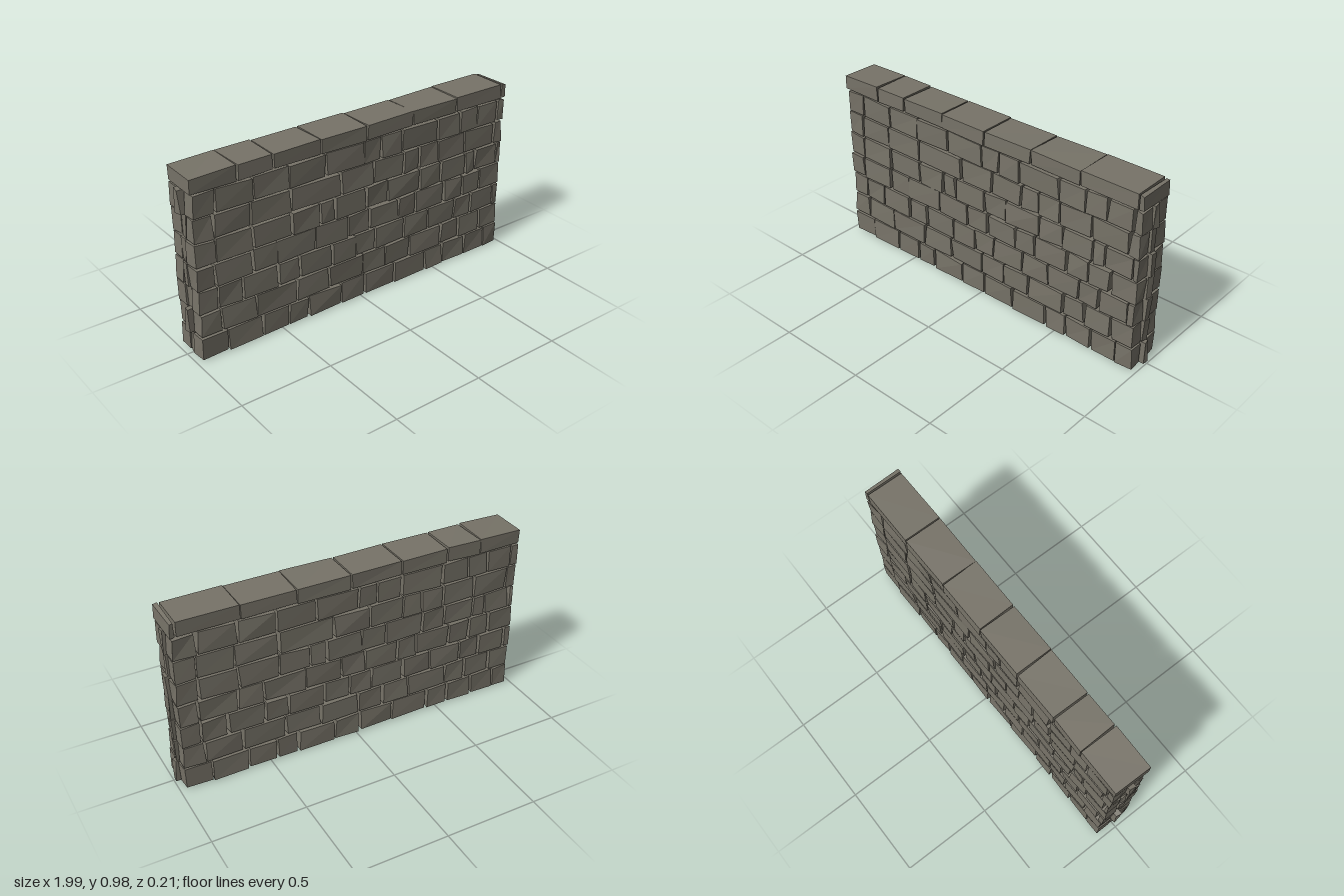
import * as THREE from 'three';

// small seeded generator for the hand-cut irregularity
let seed = 7;
const rand = () => {
  seed = (seed * 16807) % 2147483647;
  return seed / 2147483647;
};
const jitter = (a) => (rand() * 2 - 1) * a;

// block spanning two opposite corners, with each of its 8 corners shifted a little
function block(name, material, x0, x1, y0, y1, z0, z1, jx, jy, jz) {
  const geo = new THREE.BoxGeometry(1, 1, 1).toNonIndexed();
  const offsets = Array.from({ length: 8 }, () => [jitter(jx), jitter(jy), jitter(jz)]);
  const p = geo.attributes.position;
  for (let i = 0; i < p.count; i++) {
    const r = p.getX(i) > 0, t = p.getY(i) > 0, f = p.getZ(i) > 0;
    const o = offsets[(r ? 1 : 0) + (t ? 2 : 0) + (f ? 4 : 0)];
    p.setXYZ(i, (r ? x1 : x0) + o[0], Math.max(0, (t ? y1 : y0) + o[1]), (f ? z1 : z0) + o[2]);
  }
  geo.computeVertexNormals();
  const mesh = new THREE.Mesh(geo, material);
  mesh.name = name;
  return mesh;
}

// vertical joints of each course, bottom to top
const COURSES = [
  [-0.975, -0.82, -0.62, -0.46, -0.34, -0.13, 0.02, 0.22, 0.44, 0.57, 0.73, 0.875, 0.975],
  [-0.97, -0.85, -0.65, -0.41, -0.21, 0.01, 0.16, 0.32, 0.55, 0.68, 0.84, 0.97],
  [-0.97, -0.86, -0.72, -0.52, -0.39, -0.19, -0.04, 0.09, 0.28, 0.45, 0.64, 0.76, 0.93, 0.975],
  [-0.975, -0.87, -0.66, -0.52, -0.29, -0.09, 0.05, 0.24, 0.36, 0.56, 0.69, 0.82, 0.975],
  [-0.975, -0.86, -0.65, -0.43, -0.26, -0.17, 0.03, 0.17, 0.39, 0.53, 0.71, 0.78, 0.94, 0.975],
  [-0.97, -0.86, -0.66, -0.43, -0.13, 0.08, 0.27, 0.38, 0.51, 0.7, 0.91, 0.97],
  [-0.97, -0.845, -0.64, -0.44, -0.22, 0.01, 0.12, 0.26, 0.5, 0.66, 0.78, 0.925, 0.975],
];
const CAP = [-0.975, -0.725, -0.525, -0.255, 0.03, 0.325, 0.62, 0.945, 0.975];

// how far the inner stones reach at each end
const CORE_ENDS = [
  [-0.97, 0.995], [-0.995, 0.985], [-0.965, 0.99], [-0.98, 0.985],
  [-0.975, 0.99], [-0.965, 0.98], [-0.995, 0.985],
];
const PITCH = 0.128, HEIGHT = 0.117, GAP = 0.006;

export function createModel() {
  const stone = new THREE.MeshStandardMaterial({ color: 0x777368 });
  const wall = new THREE.Group();
  wall.name = 'stoneWall';

  COURSES.forEach((joints, row) => {
    const course = new THREE.Group();
    course.name = 'course' + (row + 1);
    const y0 = 0.007 + row * PITCH, y1 = y0 + HEIGHT;

    // front and back faces, the back laid in the opposite order
    for (const [name, side] of [['frontStone', 1], ['backStone', -1]]) {
      for (let i = 0; i < joints.length - 1; i++) {
        const a = side > 0 ? joints[i] : -joints[i + 1];
        const b = side > 0 ? joints[i + 1] : -joints[i];
        const zs = [0.024 * side, 0.1 * side].sort((m, n) => m - n);
        course.add(block(name, stone, a + GAP, b - GAP, y0, y1, zs[0], zs[1], 0.006, 0.004, 0.005));
      }
    }

    // narrow inner stones filling the middle
    const [c0, c1] = CORE_ENDS[row];
    const n = 6;
    for (let i = 0; i < n; i++) {
      const a = c0 + ((c1 - c0) * i) / n, b = c0 + ((c1 - c0) * (i + 1)) / n;
      const inA = i ? -0.008 : 0.006, inB = i < n - 1 ? 0.008 : -0.006;
      course.add(block('innerStone', stone, a + inA, b + inB, y0 - 0.004, y1 + 0.006,
        -0.018, 0.018, 0.006, 0.004, 0.006));
    }
    wall.add(course);
  });

  // full-depth coping stones
  const coping = new THREE.Group();
  coping.name = 'coping';
  for (let i = 0; i < CAP.length - 1; i++) {
    coping.add(block('copingStone', stone, CAP[i] + 0.004, CAP[i + 1] - 0.004,
      0.902, 0.98, -0.102, 0.102, 0.004, 0.004, 0.003));
  }
  wall.add(coping);
  return wall;
}
